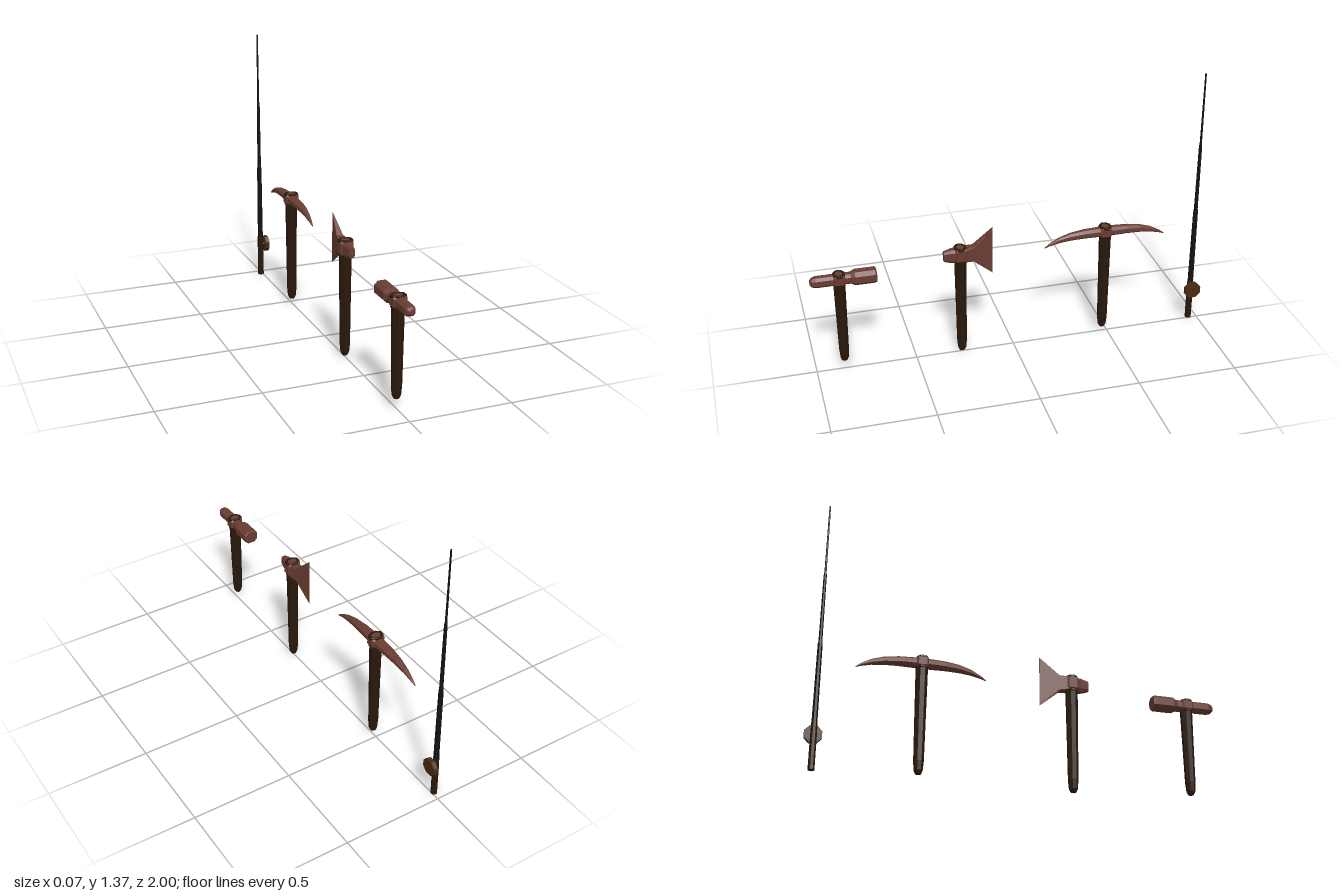
import * as THREE from 'three';

const mat = (color) => new THREE.MeshStandardMaterial({ color, flatShading: true });
const iron = mat(0x6a3c32), wood = mat(0x2a180b), dark = mat(0x17110f), brass = mat(0x4a2a14);

function add(parent, name, geometry, material, x = 0, y = 0, z = 0) {
  const mesh = new THREE.Mesh(geometry, material);
  mesh.name = name;
  mesh.position.set(x, y, z);
  parent.add(mesh);
  return mesh;
}

// Skin of eight-sided chamfered sections [z, y, halfWidth, halfHeight], z ascending
function loft(sections, k = 0.5) {
  const ring = [[1, -k], [1, k], [k, 1], [-k, 1], [-1, k], [-1, -k], [-k, -1], [k, -1]];
  const pos = [], idx = [], n = ring.length;
  for (const [z, y, hx, hy] of sections) {
    for (const [u, v] of ring) pos.push(u * hx, y + v * hy, z);
  }
  for (let i = 0; i < sections.length - 1; i++) {
    for (let j = 0; j < n; j++) {
      const a = i * n + j, b = i * n + (j + 1) % n;
      idx.push(a, b, b + n, a, b + n, a + n);
    }
  }
  const end = (sections.length - 1) * n;
  for (let j = 1; j < n - 1; j++) {
    idx.push(0, j + 1, j, end, end + j, end + j + 1);
  }
  const geo = new THREE.BufferGeometry();
  geo.setAttribute('position', new THREE.Float32BufferAttribute(pos, 3));
  geo.setIndex(idx);
  geo.computeVertexNormals();
  return geo;
}

// Eight-sided turned shape from [radius, y] points, bottom to top
function turned(points, sx = 1, sz = 1) {
  const geo = new THREE.LatheGeometry(points.map(([r, y]) => new THREE.Vector2(r, y)), 8);
  return geo.rotateY(Math.PI / 8).scale(sx, 1, sz);
}

// Tapered handle with an eye block and rims where it passes through the head
function tool(name, z, bottom, top, eyeBottom) {
  const group = new THREE.Group();
  group.name = name;
  group.position.z = z;
  add(group, 'handle', turned([
    [0, bottom], [0.014, bottom], [0.021, bottom + 0.015], [0.025, bottom + 0.06],
    [0.03, eyeBottom], [0.03, top - 0.012], [0, top - 0.012],
  ]), wood);
  const mid = (eyeBottom + top) / 2, h = (top - eyeBottom) / 2;
  add(group, 'eyeBlock', loft([
    [-0.028, mid, 0.027, h - 0.009], [-0.02, mid, 0.034, h - 0.004],
    [0.02, mid, 0.034, h - 0.004], [0.028, mid, 0.027, h - 0.009],
  ], 0.75), iron);
  add(group, 'topRim', turned([
    [0.03, top - 0.014], [0.039, top - 0.012], [0.038, top - 0.002],
    [0.034, top], [0.026, top], [0.024, top - 0.007], [0, top - 0.007],
  ], 1, 0.8), wood);
  add(group, 'bottomRim', turned([
    [0.028, eyeBottom - 0.004], [0.034, eyeBottom], [0.034, eyeBottom + 0.008], [0.028, eyeBottom + 0.01],
  ], 1, 0.85), wood);
  return group;
}

export function createModel() {
  const model = new THREE.Group();
  model.name = 'toolSet';

  // Hammer: broad striking face at the back, slim rounded peen at the front
  const hammer = tool('hammer', 0.86, 0.05, 0.54, 0.48);
  add(hammer, 'hammerHead', loft([
    [-0.18, 0.508, 0.033, 0.031], [-0.172, 0.508, 0.037, 0.035], [-0.075, 0.508, 0.037, 0.035],
    [-0.055, 0.508, 0.026, 0.026], [0.05, 0.508, 0.026, 0.026], [0.112, 0.508, 0.026, 0.026],
    [0.13, 0.508, 0.021, 0.021], [0.14, 0.508, 0.01, 0.011],
  ]), iron);
  model.add(hammer);

  // Axe: flared blade thinning to a sharp edge, short tapered poll
  const axe = tool('axe', 0.267, 0.01, 0.6, 0.52);
  add(axe, 'axeBlade', loft([
    [-0.162, 0.558, 0.001, 0.127], [-0.065, 0.556, 0.018, 0.04], [-0.02, 0.556, 0.028, 0.034],
  ], 0.9), iron);
  add(axe, 'axePoll', loft([
    [0.02, 0.556, 0.028, 0.036], [0.045, 0.556, 0.021, 0.035], [0.083, 0.556, 0.014, 0.025],
  ], 0.6), iron);
  model.add(axe);

  // Pickaxe: symmetrical drooping arms with pointed tips
  const pick = tool('pickaxe', -0.473, 0.03, 0.615, 0.555);
  const arm = [
    [0.03, 0.583, 0.026, 0.023], [0.11, 0.582, 0.023, 0.021], [0.18, 0.576, 0.018, 0.018],
    [0.24, 0.563, 0.012, 0.013], [0.285, 0.545, 0.007, 0.007], [0.313, 0.53, 0.002, 0.002],
  ];
  const mirrored = arm.map(([z, ...rest]) => [-z, ...rest]).reverse();
  add(pick, 'pickHead', loft([...mirrored, ...arm], 0.45), iron);
  model.add(pick);

  // Fishing rod: grip, stepped tapering shaft and a reel on its left side
  const rod = new THREE.Group();
  rod.name = 'fishingRod';
  rod.position.set(-0.01, 0, -0.957);
  add(rod, 'grip', turned([[0, 0], [0.016, 0], [0.016, 0.145], [0.015, 0.225], [0, 0.225]]), wood);
  add(rod, 'shaft', turned([
    [0.014, 0.22], [0.012, 0.62], [0.0095, 0.64], [0.008, 0.98],
    [0.0055, 1.0], [0.004, 1.365], [0, 1.365],
  ]), dark);
  const mount = new THREE.CylinderGeometry(0.012, 0.012, 0.025, 8).rotateZ(Math.PI / 2);
  add(rod, 'reelMount', mount, dark, 0.015, 0.18, 0);
  const reel = new THREE.CylinderGeometry(0.044, 0.044, 0.021, 8).rotateY(Math.PI / 8).rotateZ(Math.PI / 2);
  add(rod, 'reel', reel, brass, 0.03, 0.18, 0);
  model.add(rod);

  return model;
}
